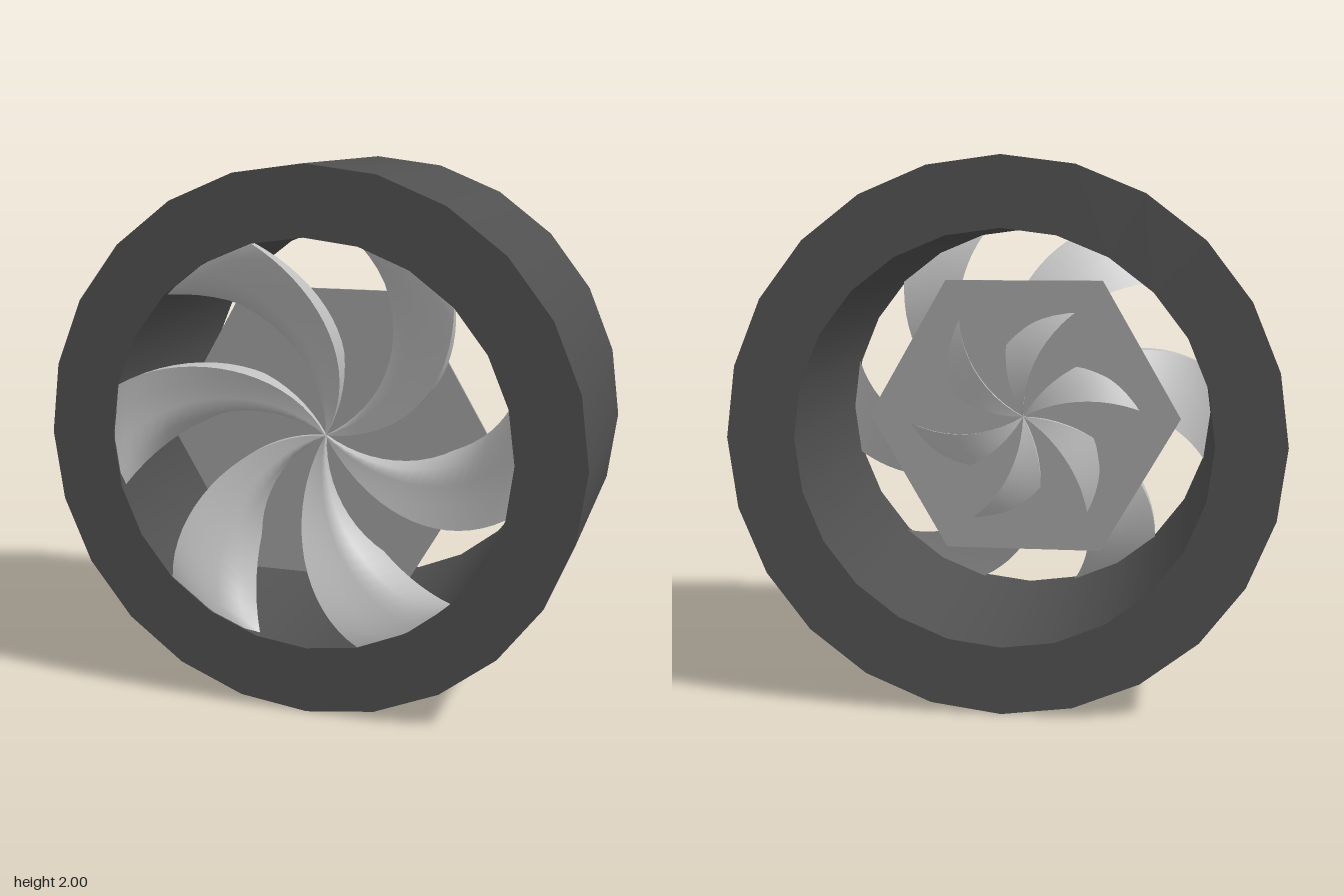
import * as THREE from 'three';
import { mergeGeometries } from 'three/addons/utils/BufferGeometryUtils.js';

const OUTER = 1, INNER = 0.75, HALF = 0.465, SIDES = 24;
const HUB_Z = 0.21, BLADES = 6;

// Point on a blade: u runs from leading to trailing edge, t from hub to rim.
// Each edge is a quarter-circle arc that starts at the axis.
function bladePoint(u, t, back) {
  const turn = (t * Math.PI) / 4;
  const angle = THREE.MathUtils.degToRad(-60 + 30 * u) + turn;
  const r = (INNER / Math.Sin45) * Math.sin(turn);
  const lead = t * t * (3 - 2 * t), trail = Math.pow(t, 1.5);
  let z = HUB_Z + 0.02 + 0.23 * (lead + (trail - lead) * u);
  if (back) z -= 0.03 + (0.07 + 0.03 * u) * Math.sin(Math.PI * t);
  return [r * Math.cos(angle), r * Math.sin(angle), z];
}
Math.Sin45 = Math.SQRT1_2;

// Smooth strip swept along t through a row of [u, back] section points.
function strip(section, steps = 18) {
  const pos = [], index = [], n = section.length;
  for (let i = 0; i <= steps; i++) {
    for (const [u, back] of section) pos.push(...bladePoint(u, i / steps, back));
  }
  for (let i = 0; i < steps; i++) {
    for (let j = 0; j < n - 1; j++) {
      const a = i * n + j, b = a + n;
      index.push(a, b, b + 1, a, b + 1, a + 1);
    }
  }
  const g = new THREE.BufferGeometry();
  g.setAttribute('position', new THREE.Float32BufferAttribute(pos, 3));
  g.setIndex(index);
  g.computeVertexNormals();
  return g;
}

export function createModel() {
  const model = new THREE.Group();
  model.name = 'wheel';
  const rubber = new THREE.MeshStandardMaterial({ name: 'dark grey tyre', color: 0x505050 });
  const plate = new THREE.MeshStandardMaterial({ name: 'mid grey hub', color: 0xa0a0a0 });
  const metal = new THREE.MeshStandardMaterial({ name: 'light grey blade', color: 0xc0c0c0, side: THREE.DoubleSide });

  const wheel = new THREE.Group();
  wheel.name = 'wheelParts';
  wheel.position.y = 1;
  model.add(wheel);

  // Tyre: one lathe per wall keeps the rims sharp and the walls smooth
  const corners = [[OUTER, -HALF], [OUTER, HALF], [INNER, HALF], [INNER, -HALF]]
    .map(([x, y]) => new THREE.Vector2(x, y));
  const walls = corners.map((c, i) => new THREE.LatheGeometry([c, corners[(i + 1) % 4]], SIDES));
  const tyre = new THREE.Mesh(mergeGeometries(walls).rotateX(Math.PI / 2), rubber);
  tyre.name = 'tyre';
  wheel.add(tyre);

  // Hexagonal plate behind the blades
  const hex = new THREE.CylinderGeometry(0.63, 0.63, 0.01, 6, 1, false, Math.PI / 6);
  const hub = new THREE.Mesh(hex.rotateX(Math.PI / 2), plate);
  hub.name = 'hubPlate';
  hub.position.z = HUB_Z;
  wheel.add(hub);

  // Swirling blades: front with a bevelled trailing edge, back, leading wall
  const blade = mergeGeometries([
    strip([[0, false], [0.3, false], [0.6, false], [0.88, false], [1, true]]),
    strip([[1, true], [0.5, true], [0, true]]),
    strip([[0, true], [0, false]]),
  ]);
  for (let i = 0; i < BLADES; i++) {
    const mesh = new THREE.Mesh(blade, metal);
    mesh.name = `blade${i + 1}`;
    mesh.rotation.z = (i * Math.PI * 2) / BLADES;
    wheel.add(mesh);
  }
  return model;
}
